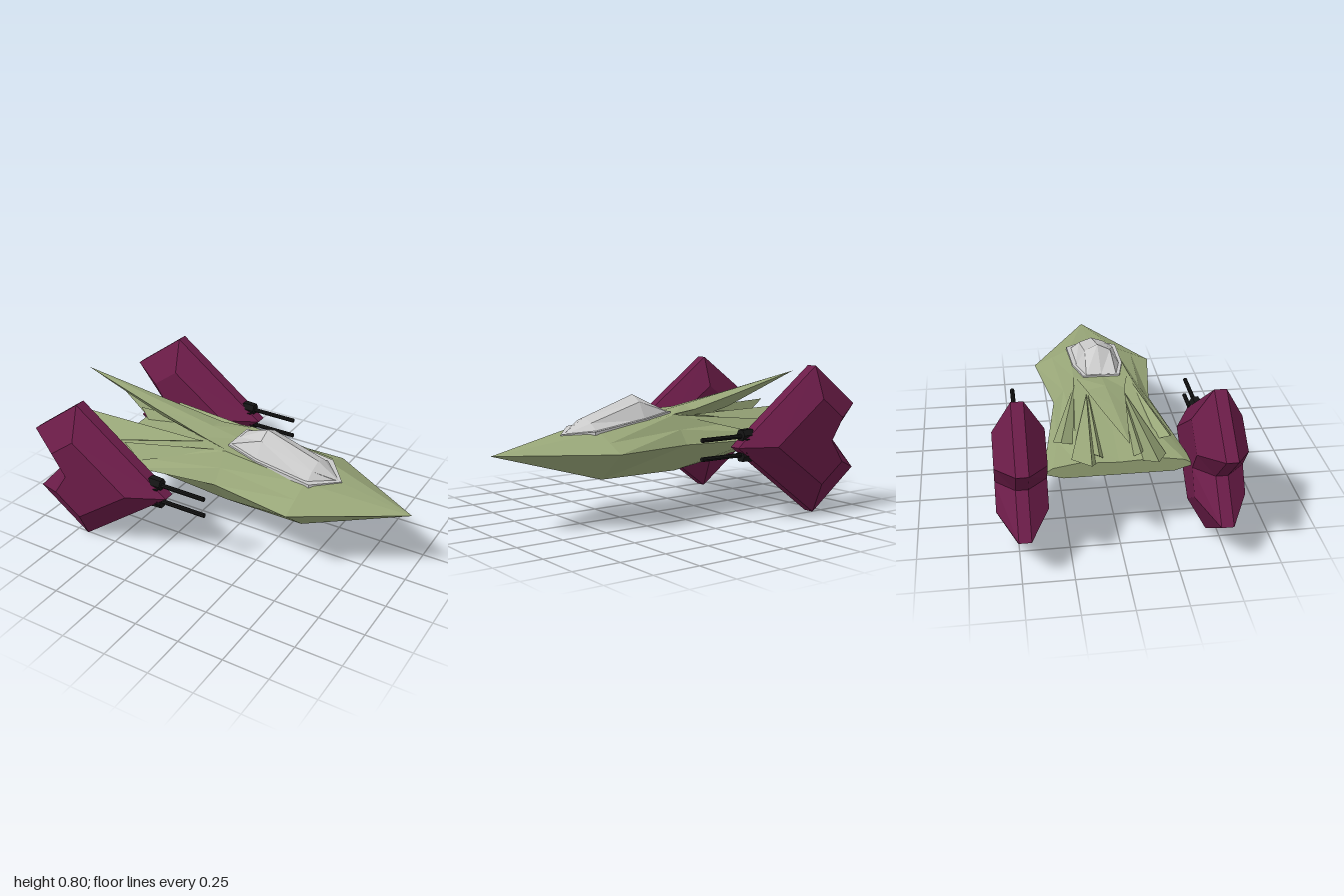
import * as THREE from 'three';

const mat = (color) => new THREE.MeshStandardMaterial({ color, flatShading: true });
const green = mat(0x98a678), maroon = mat(0x6b1c48), black = mat(0x141414);
const glass = mat(0xcccccc), frame = mat(0xdddddd);

function mesh(name, geometry, material) {
  const m = new THREE.Mesh(geometry, material);
  m.name = name;
  return m;
}

// Closed faceted solid from triangles; winding is flipped if the volume is negative
function solid(tris) {
  const [a, b, c] = [0, 1, 2].map(() => new THREE.Vector3());
  let volume = 0;
  for (const t of tris) volume += a.set(...t[0]).dot(b.set(...t[1]).cross(c.set(...t[2])));
  const pos = tris.flatMap((t) => (volume < 0 ? [t[0], t[2], t[1]] : t)).flat();
  const g = new THREE.BufferGeometry();
  g.setAttribute('position', new THREE.Float32BufferAttribute(pos, 3));
  g.computeVertexNormals();
  return g;
}

// Skin rings of equal length; caps fan out from the point with index "hub"
function loft(rings, hub = 0) {
  const n = rings[0].length, tris = [];
  for (let r = 0; r + 1 < rings.length; r++) {
    for (let i = 0; i < n; i++) {
      const j = (i + 1) % n, p = rings[r], q = rings[r + 1];
      tris.push([p[i], q[i], q[j]], [p[i], q[j], p[j]]);
    }
  }
  const first = rings[0], last = rings[rings.length - 1];
  for (let k = 1; k < n - 1; k++) {
    const i = (hub + k) % n, j = (hub + k + 1) % n;
    tris.push([first[hub], first[i], first[j]], [last[hub], last[j], last[i]]);
  }
  return solid(tris);
}

// Mirrored cross-section at x from a half profile of [y, z], top centre to bottom centre
function section(x, half) {
  const left = half.map(([y, z]) => [x, y, z]);
  const right = half.slice(1, -1).reverse().map(([y, z]) => [x, y, -z]);
  return [...left, ...right];
}

function tetra(a, b, c, d) {
  return solid([[a, b, c], [a, c, d], [a, d, b], [b, d, c]]);
}

// Chevron engine pod with bevelled sides
function pod() {
  const outer = [[-0.14, 0.4], [-0.68, 0.8], [-0.98, 0.58], [-0.81, 0.4], [-0.98, 0.22], [-0.68, 0]];
  const inner = [[-0.33, 0.4], [-0.65, 0.63], [-0.8, 0.52], [-0.72, 0.4], [-0.8, 0.28], [-0.65, 0.17]];
  const ring = (pts, z) => pts.map(([x, y]) => [x, y, z]);
  return loft([ring(inner, -0.125), ring(outer, -0.03), ring(outer, 0.03), ring(inner, 0.125)], 3);
}

function gun(y, dir) {
  const g = new THREE.Group();
  g.name = 'gun';
  const barrel = mesh('barrel', new THREE.CylinderGeometry(0.012, 0.012, 0.27, 8), black);
  barrel.rotation.z = -Math.PI / 2;
  barrel.position.set(-0.06, y, 0);
  const housing = mesh('gunHousing', new THREE.CylinderGeometry(0.032, 0.035, 0.06, 6), black);
  housing.rotation.z = -Math.PI / 2;
  housing.position.set(-0.21, y + dir * 0.006, 0);
  const rear = mesh('gunHousingRear', new THREE.CylinderGeometry(0.035, 0.012, 0.045, 6), black);
  rear.rotation.z = -Math.PI / 2;
  rear.position.set(-0.262, y + dir * 0.006, 0);
  const plate = mesh('gunPlate', new THREE.BoxGeometry(0.1, 0.006, 0.075), black);
  plate.position.set(-0.24, y - dir * 0.014, 0);
  g.add(barrel, housing, rear, plate);
  return g;
}

export function createModel() {
  const model = new THREE.Group();
  model.name = 'starfighter';

  // Hull, nose to tail
  model.add(mesh('hull', loft([
    section(1, [[0.4, 0], [0.4, 0], [0.4, 0], [0.4, 0], [0.4, 0], [0.4, 0]]),
    section(0.46, [[0.495, 0], [0.49, 0.13], [0.445, 0.23], [0.4, 0.33], [0.25, 0.15], [0.25, 0]]),
    section(0, [[0.55, 0], [0.55, 0.15], [0.475, 0.205], [0.4, 0.26], [0.25, 0.15], [0.25, 0]]),
    section(-0.45, [[0.48, 0], [0.485, 0.19], [0.435, 0.28], [0.4, 0.33], [0.335, 0.21], [0.335, 0]]),
    section(-0.69, [[0.44, 0], [0.45, 0.2], [0.43, 0.32], [0.4, 0.37], [0.37, 0.27], [0.37, 0]]),
  ]), green));

  // Long dorsal spike
  const tip = [-1, 0.73, 0];
  model.add(mesh('dorsalSpike', loft([
    section(0, [[0.55, 0], [0.55, 0.14], [0.5, 0]]),
    section(-0.17, [[0.58, 0], [0.56, 0.1], [0.47, 0]]),
    section(-0.5, [[0.64, 0], [0.625, 0.062], [0.55, 0]]),
    [tip, tip, tip, tip],
  ]), green));

  for (const s of [1, -1]) {
    const side = s > 0 ? 'left' : 'right';

    // Tail spikes and root fillets beside the dorsal spike
    model.add(mesh(side + 'TailSpike', tetra(
      [-0.17, 0.535, s * 0.1], [-0.89, 0.555, s * 0.155], [-0.67, 0.46, s * 0.23], [-0.62, 0.4, s * 0.1]), green));
    model.add(mesh(side + 'InnerTailSpike', tetra(
      [-0.17, 0.53, s * 0.09], [-0.72, 0.5, s * 0.1], [-0.6, 0.45, s * 0.14], [-0.6, 0.4, s * 0.05]), green));
    model.add(mesh(side + 'ShoulderRidge', tetra(
      [-0.02, 0.545, s * 0.14], [-0.57, 0.495, s * 0.27], [-0.45, 0.43, s * 0.3], [-0.5, 0.43, s * 0.15]), green));

    // Pod and its pair of guns
    const unit = new THREE.Group();
    unit.name = side + 'Engine';
    unit.position.z = s * 0.477;
    unit.add(mesh('pod', pod(), maroon), gun(0.455, 1), gun(0.358, -1));
    model.add(unit);
  }

  // Canopy: frame slab around the base, then glass
  const base = (grow, dy) => [[0, 0.555, 0.085], [0.17, 0.53, 0.125], [0.48, 0.488, 0.13], [0.6, 0.468, 0]]
    .map(([x, y, z]) => [x + (x === 0 ? -grow : grow * 0.7), y + dy, z ? z + grow : 0]);
  const outline = (grow, dy) => {
    const p = base(grow, dy);
    return [...p, ...p.slice(0, 3).reverse().map(([x, y, z]) => [x, y, -z])];
  };
  model.add(mesh('canopyFrame', loft([outline(0.014, -0.03), outline(0.012, 0.006)], 3), frame));
  model.add(mesh('canopy', loft([
    section(0, [[0.56, 0], [0.56, 0.08], [0.55, 0.085], [0.5, 0]]),
    section(0.17, [[0.655, 0], [0.62, 0.07], [0.53, 0.122], [0.48, 0]]),
    section(0.47, [[0.555, 0], [0.53, 0.07], [0.49, 0.125], [0.45, 0]]),
    section(0.595, [[0.472, 0], [0.472, 0], [0.468, 0], [0.465, 0]]),
  ]), glass));

  return model;
}
